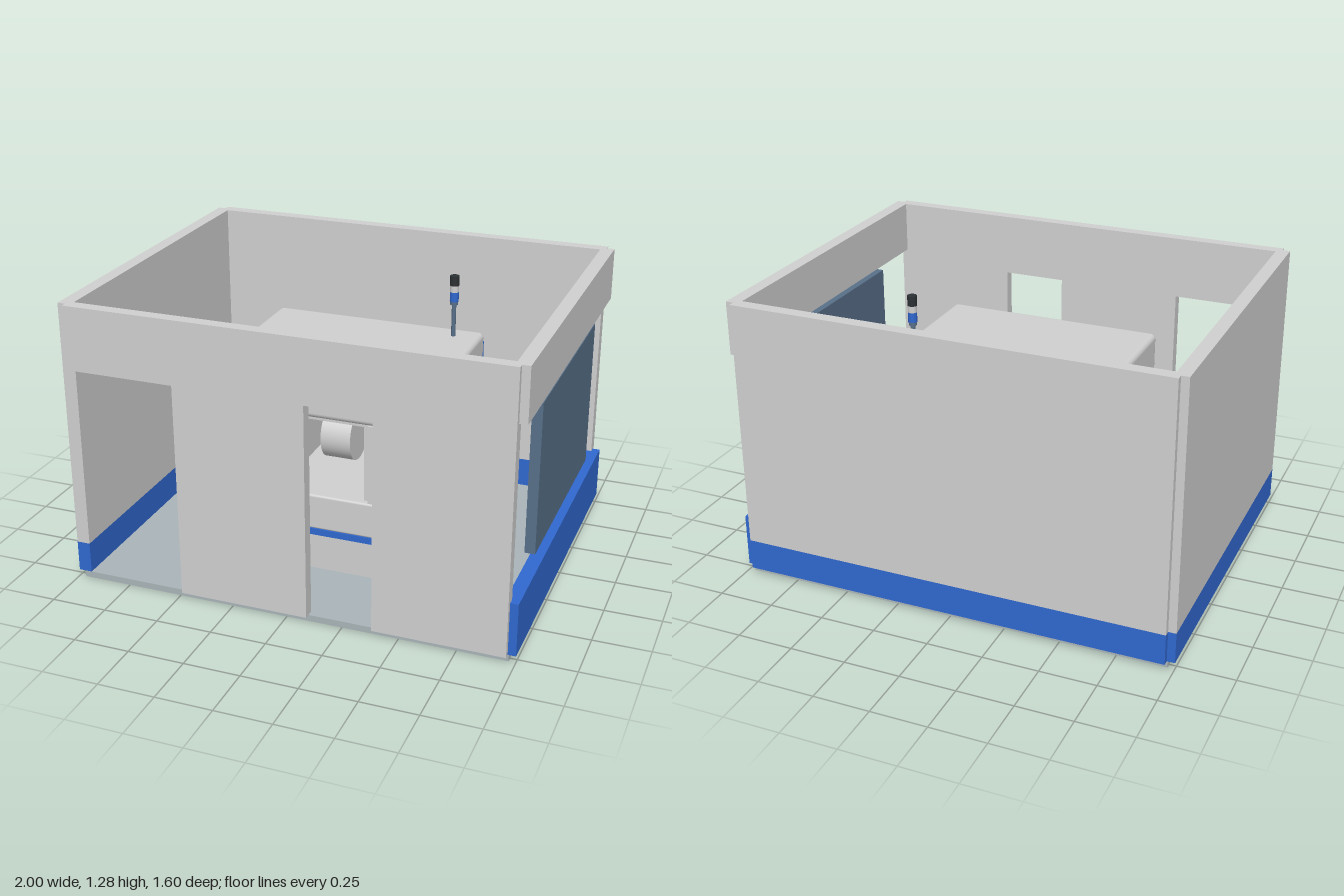
import * as THREE from 'three';
import { RoundedBoxGeometry } from 'three/addons/geometries/RoundedBoxGeometry.js';

export function createModel() {
  const root = new THREE.Group();
  root.name = 'machineCell';

  const material = (name, color) => {
    const m = new THREE.MeshStandardMaterial({ color });
    m.name = name;
    return m;
  };
  const grey = material('light grey', 0xd0d0d0);
  const blue = material('blue', 0x3068d0);
  const slate = material('slate', 0x587089);
  const black = material('black', 0x2c3133);
  const floorGrey = material('floor grey', 0xaab5b9);

  const add = (name, geometry, mat, parent = root) => {
    const mesh = new THREE.Mesh(geometry, mat);
    mesh.name = name;
    parent.add(mesh);
    return mesh;
  };
  // Box given by its limits on each axis, optionally with rounded edges
  const box = (name, mat, [x0, x1], [y0, y1], [z0, z1], radius = 0, parent = root) => {
    const size = [x1 - x0, y1 - y0, z1 - z0];
    const g = radius ? new RoundedBoxGeometry(...size, 3, radius) : new THREE.BoxGeometry(...size);
    const mesh = add(name, g, mat, parent);
    mesh.position.set((x0 + x1) / 2, (y0 + y1) / 2, (z0 + z1) / 2);
    return mesh;
  };
  const rod = (name, mat, radius, x, y0, y1, z) => {
    add(name, new THREE.CylinderGeometry(radius, radius, y1 - y0, 20), mat)
      .position.set(x, (y0 + y1) / 2, z);
  };

  // Floor slab
  box('floor', floorGrey, [-0.97, 0.97], [0.001, 0.03], [-0.775, 0.775]);

  // Front wall with a wide opening and a doorway
  const outline = [
    [-0.965, 1], [-0.48, 1], [-0.48, 0.03], [0.1, 0.03], [0.1, 1], [0.39, 1],
    [0.39, 0.03], [0.965, 0.03], [0.965, 1.285], [-0.965, 1.285],
  ];
  const shape = new THREE.Shape(outline.map(([x, y]) => new THREE.Vector2(x, y)));
  add('frontWall', new THREE.ExtrudeGeometry(shape, { depth: 0.055, bevelEnabled: false }), grey)
    .position.z = 0.745;

  // Solid back and side walls with blue skirting
  box('backWall', grey, [-0.965, 0.965], [0.17, 1.285], [-0.803, -0.745]);
  box('backSkirting', blue, [-0.965, 0.965], [0.03, 0.17], [-0.803, -0.745]);
  box('rightWall', grey, [-1, -0.94], [0.17, 1.285], [-0.775, 0.775]);
  box('rightSkirting', blue, [-1, -0.94], [0.03, 0.17], [-0.775, 0.775]);

  // Open side: header, low wall and hanging screen
  box('leftHeader', grey, [0.94, 1], [1.047, 1.285], [-0.775, 0.775]);
  box('leftLowWall', blue, [0.94, 1], [0.03, 0.27], [-0.775, 0.775]);
  box('slidingScreen', slate, [0.945, 0.99], [0.345, 1.02], [-0.48, 0.487]);

  // Machine base with a blue band, and its rounded hood
  box('machineBase', grey, [-0.495, 0.495], [0, 0.195], [-0.385, 0.39]);
  box('machineBand', blue, [-0.5, 0.5], [0.195, 0.225], [-0.39, 0.39]);
  box('machineBed', grey, [-0.495, 0.495], [0.225, 0.39], [-0.385, 0.39], 0.01);
  box('machineHood', grey, [-0.505, 0.505], [0.755, 0.95], [-0.39, 0.39], 0.025);
  box('machineBackPlate', blue, [-0.5, 0.5], [0.39, 0.9], [-0.398, -0.389]);

  // Working recess between two cabinets
  for (const s of [-1, 1]) {
    box('cabinet', grey, s < 0 ? [-0.495, -0.22] : [0.22, 0.495], [0.39, 0.755], [-0.385, 0.385]);
    box('cabinetEdge', grey, s < 0 ? [-0.22, -0.195] : [0.195, 0.22], [0.39, 0.755], [-0.385, 0.36]);
  }
  box('recessBack', grey, [-0.195, 0.195], [0.39, 0.755], [-0.385, -0.3]);
  box('recessTopRail', grey, [-0.195, 0.195], [0.71, 0.745], [-0.3, 0.3]);
  box('recessShutter', black, [-0.195, 0.195], [0.47, 0.605], [-0.3, -0.27]);
  box('recessStrip', blue, [-0.195, 0.195], [0.455, 0.47], [-0.3, -0.25]);
  box('recessLedge', grey, [-0.195, 0.195], [0.39, 0.455], [-0.3, -0.2]);
  const drum = add('drum', new THREE.CylinderGeometry(0.12, 0.12, 0.14, 40), grey);
  drum.rotation.z = Math.PI / 2;
  drum.position.set(0, 0.57, 0.08);

  // Loading stations mirrored on both ends
  for (const s of [-1, 1]) {
    const station = new THREE.Group();
    station.name = 'loadingStation';
    root.add(station);
    const part = (name, mat, [a, b], y, z, r = 0) =>
      box(name, mat, s < 0 ? [-b, -a] : [a, b], y, z, r, station);
    part('curtain', black, [0.495, 0.51], [0.45, 0.63], [-0.2, 0.2]);
    for (let i = 0; i < 10; i++) {
      const z = -0.18 + i * 0.04;
      part('curtainRib', black, [0.51, 0.517], [0.45, 0.63], [z - 0.012, z + 0.012]);
    }
    part('frameTop', blue, [0.495, 0.53], [0.63, 0.76], [-0.25, 0.25]);
    part('frameBottom', blue, [0.495, 0.53], [0.39, 0.45], [-0.25, 0.25]);
    for (const z of [-0.225, 0.225]) {
      part('frameSide', blue, [0.495, 0.53], [0.45, 0.63], [z - 0.025, z + 0.025]);
      part('bracket', blue, [0.53, 0.588], [0.435, 0.47], [z + Math.sign(z) * 0.01, z + Math.sign(z) * 0.025]);
      part('leg', slate, [0.53, 0.555], [0.03, z < 0 ? 0.845 : 0.44], [z - 0.018, z + 0.01]);
    }
    part('legCap', slate, [0.51, 0.58], [0.845, 0.865], [-0.24, -0.205]);
    part('lowerRail', slate, [0.53, 0.555], [0.13, 0.155], [-0.21, 0.21]);
    part('upperRail', slate, [0.53, 0.58], [0.44, 0.46], [-0.21, 0.21]);
    part('trayArm', slate, [0.53, 0.6], [0.355, 0.37], [-0.2, 0.19]);
    part('tray', black, [0.58, 0.652], [0.37, 0.39], [-0.2, 0.19]);
  }

  // Rear chute with an upright plate
  box('chuteBody', blue, [-0.11, 0.11], [0.15, 0.46], [-0.5, -0.39]);
  box('chutePlate', blue, [-0.112, 0.112], [0.12, 0.5], [-0.535, -0.497], 0.012);
  for (const x of [-0.115, 0.115])
    box('chuteCheek', grey, [x - 0.008, x + 0.008], [0.2, 0.42], [-0.45, -0.39]);

  // Operator console
  box('consolePost', slate, [-0.51, -0.41], [0.03, 0.46], [0.48, 0.493]);
  box('consoleCase', slate, [-0.54, -0.38], [0.44, 0.63], [0.472, 0.5], 0.008);
  box('consoleScreen', black, [-0.533, -0.387], [0.45, 0.625], [0.499, 0.505]);

  // Signal beacon
  const bands = [
    ['beaconPole', slate, 0.01, 0.94, 1.1], ['beaconCollar', slate, 0.018, 1.1, 1.115],
    ['beaconBlueLamp', blue, 0.02, 1.115, 1.16], ['beaconGreyLamp', grey, 0.02, 1.16, 1.19],
    ['beaconCap', black, 0.021, 1.19, 1.235],
  ];
  for (const [name, mat, r, y0, y1] of bands) rod(name, mat, r, 0.385, y0, y1, -0.29);

  return root;
}
